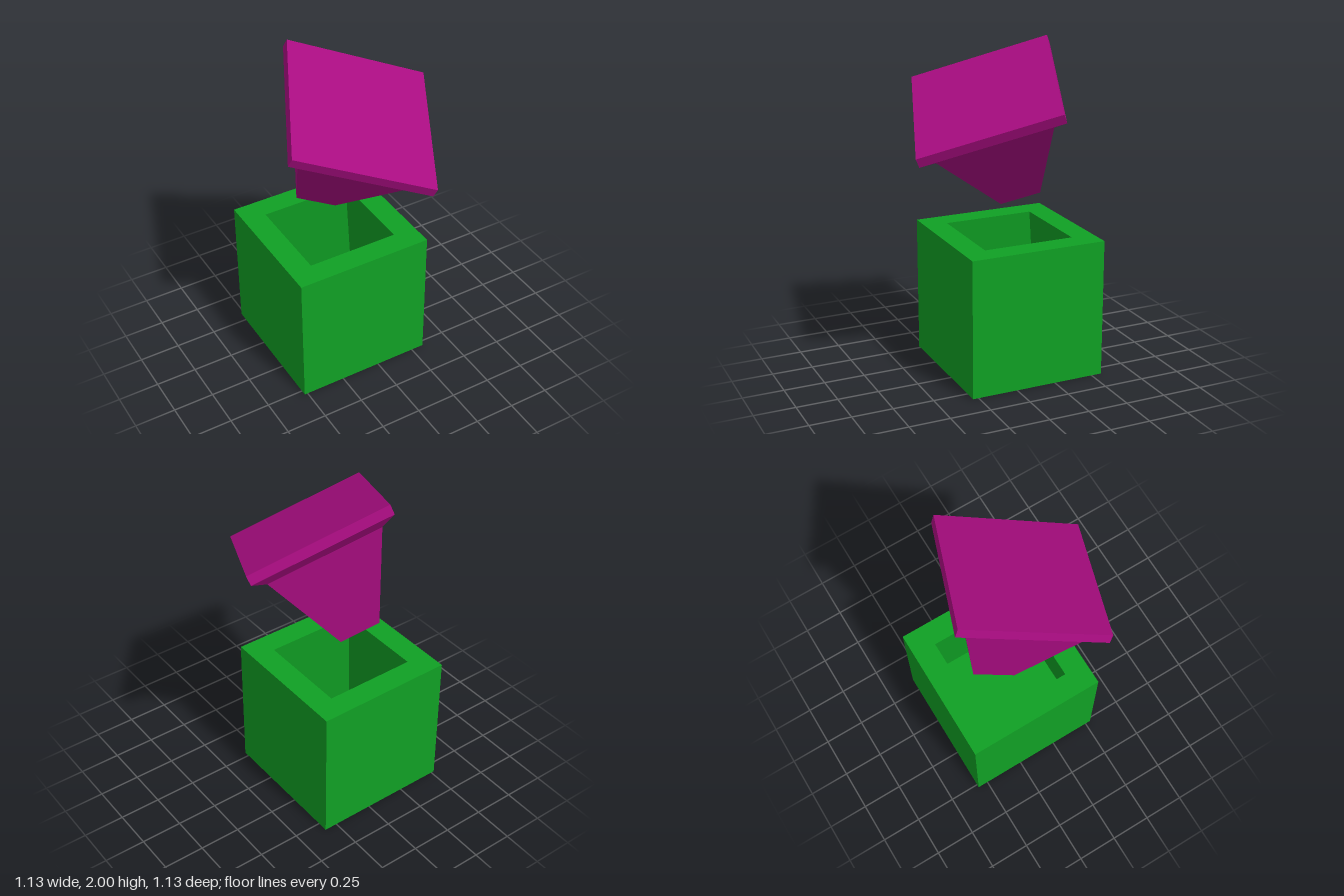
import * as THREE from 'three';

// Square solid: a four-sided lathe; profile pairs are [half width, height], outside from bottom to top
function squareLathe(name, profile, color) {
  const points = profile.map(([w, y]) => new THREE.Vector2(w * Math.SQRT2, y));
  const geometry = new THREE.LatheGeometry(points, 4, Math.PI / 4);
  const material = new THREE.MeshStandardMaterial({ color, flatShading: true });
  const mesh = new THREE.Mesh(geometry, material);
  mesh.name = name;
  return mesh;
}

export function createModel() {
  const model = new THREE.Group();
  model.name = 'boxWithLid';

  // Hollow cube, its cavity widening slightly below the square mouth
  const box = squareLathe('box', [
    [0, 0], [0.425, 0], [0.425, 0.85], [0.2825, 0.85], [0.37, 0.1], [0, 0.1],
  ], 0x10a024);
  box.position.set(-0.095, 0, -0.14);
  model.add(box);

  // Floating lid: square plate, bevelled underside and tapering plug
  const lid = squareLathe('lid', [
    [0, -0.695], [0.1225, -0.695], [0.345, -0.118], [0.425, -0.06], [0.425, 0], [0, 0],
  ], 0xa80c80);

  // Tilt the lid: its own x runs along one plate edge, its y along the plate normal
  const xAxis = new THREE.Vector3(0.74, -0.3, 0.27).normalize();
  const yAxis = new THREE.Vector3(-0.37, -0.255, 0.715).cross(xAxis).normalize();
  const zAxis = new THREE.Vector3().crossVectors(xAxis, yAxis);
  lid.quaternion.setFromRotationMatrix(new THREE.Matrix4().makeBasis(xAxis, yAxis, zAxis));
  lid.position.set(0.005, 1.72, 0.065);
  model.add(lid);

  return model;
}
